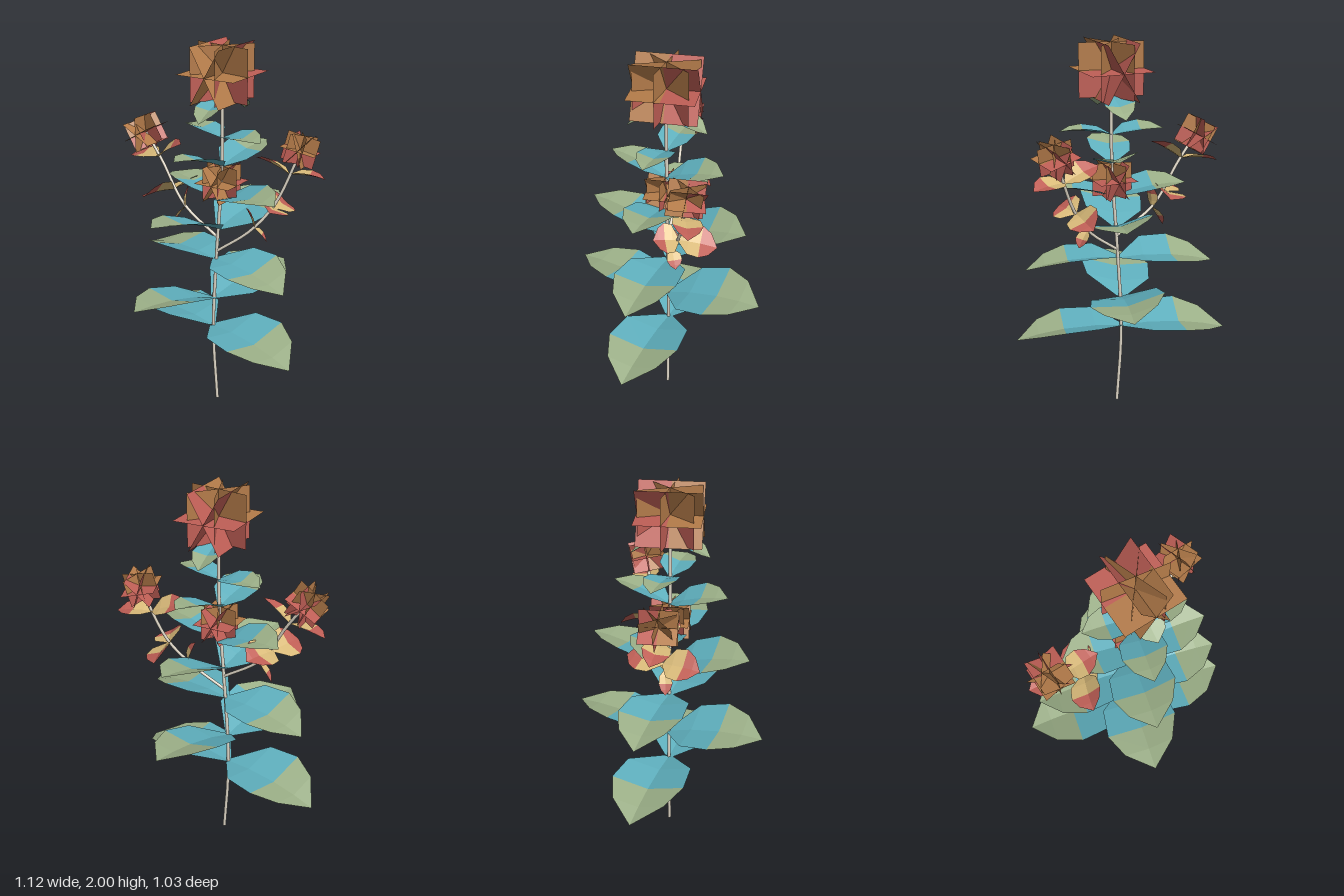
import * as THREE from 'three';
import { mergeGeometries } from 'three/addons/utils/BufferGeometryUtils.js';

const V = (x, y, z) => new THREE.Vector3(x, y, z);
const mat = (color) => new THREE.MeshStandardMaterial({ color, flatShading: true, side: THREE.DoubleSide });
const M = {
  stem: new THREE.MeshStandardMaterial({ color: 0xe0d8c8 }), teal: mat(0x5fb0be), green: mat(0x9cb088),
  orange: mat(0xb57c4a), red: mat(0xc05f56), yellow: mat(0xdabb7a),
};

function add(parent, name, geometry, material) {
  const mesh = new THREE.Mesh(geometry, material);
  mesh.name = name;
  parent.add(mesh);
}

// Folded strip through rows of [edge, midrib, edge]
function strip(rows) {
  const index = [];
  for (let i = 0; i < rows.length - 1; i++) {
    for (let j = 0; j < 2; j++) {
      const a = i * 3 + j, b = a + 3;
      index.push(a, a + 1, b, b, a + 1, b + 1);
    }
  }
  const g = new THREE.BufferGeometry().setFromPoints(rows.flat());
  g.setIndex(index);
  g.computeVertexNormals();
  return g;
}

// Leaf: V-folded along an arched midrib, one edge lifted less, base and tip in two colours
const PROFILE = [[0, 0.12], [0.25, 0.9], [0.55, 1], [0.79, 0.7], [1, 0]];
function leaf(parent, name, base, tip, halfWidth, axis, outerLift, baseMat, tipMat) {
  const dir = tip.clone().sub(base);
  const len = dir.length();
  dir.normalize();
  const side = axis.clone().cross(dir).normalize();
  const up = dir.clone().cross(side);
  const rows = PROFILE.map(([t, w]) => {
    const mid = base.clone().addScaledVector(dir, t * len).addScaledVector(up, 0.2 * len * t * (1 - t));
    const edge = (s, lift) => mid.clone().addScaledVector(side, s * w * halfWidth).addScaledVector(up, lift * w * halfWidth);
    return [edge(1, 0.32), mid, edge(-1, outerLift)];
  });
  const group = new THREE.Group();
  group.name = name;
  add(group, 'leafBase', strip(rows.slice(0, 3)), baseMat);
  add(group, 'leafTip', strip(rows.slice(2)), tipMat);
  parent.add(group);
}

// Flower head: upright cards fanned about y, and cards fanned about z
function flower(parent, name, position, scale, euler) {
  const orange = [], red = [];
  const W = 0.334, H = 0.276;
  for (let i = 0; i < 3; i++) {
    const yaw = -THREE.MathUtils.degToRad(10 + 60 * i);
    const roll = i * Math.PI / 3;
    for (const s of [1, -1]) {
      const list = s > 0 ? orange : red;
      list.push(new THREE.PlaneGeometry(W, H / 2).translate(0, s * H / 4, 0).rotateY(yaw));
      list.push(new THREE.PlaneGeometry(W, W / 2).rotateX(-Math.PI / 2).translate(0, 0, s * W / 4).rotateZ(roll));
    }
  }
  const group = new THREE.Group();
  group.name = name;
  add(group, 'petalsOrange', mergeGeometries(orange), M.orange);
  add(group, 'petalsRed', mergeGeometries(red), M.red);
  group.position.copy(position);
  group.scale.setScalar(scale);
  group.rotation.copy(euler);
  parent.add(group);
}

function stalk(parent, name, points, radius) {
  const curve = new THREE.CatmullRomCurve3(points);
  add(parent, name, new THREE.TubeGeometry(curve, 14, radius, 14, false), M.stem);
}

export function createModel() {
  const root = new THREE.Group();
  root.name = 'floweringPlant';

  // Main stem and two branches
  stalk(root, 'mainStem', [V(0.033, 0, 0), V(0.006, 0.42, 0), V(0.028, 0.9, 0), V(0.058, 1.35, 0), V(0.06, 1.8, 0)], 0.009);
  stalk(root, 'rightBranch', [V(0.033, 0.975, 0), V(-0.18, 1.12, 0), V(-0.32, 1.34, 0), V(-0.42, 1.48, 0)], 0.008);
  stalk(root, 'leftBranch', [V(0.033, 0.9, 0), V(0.2, 1.03, -0.05), V(0.31, 1.18, -0.11), V(0.42, 1.47, -0.17)], 0.008);

  // Opposite leaf pairs: [stem x, y, reach, rise, half width, heading in degrees, outer edge lift]
  const levels = [
    [0.003, 0.45, 0.575, -0.05, 0.203, 14, 0.17],
    [0.008, 0.62, 0.535, 0.08, 0.193, 106, 0.02],
    [0.015, 0.85, 0.505, -0.045, 0.178, 14, 0.14],
    [0.037, 1.025, 0.445, 0.115, 0.167, 106, 0.02],
    [0.053, 1.195, 0.385, 0.06, 0.14, 14, 0.14],
    [0.058, 1.375, 0.315, 0.085, 0.115, 106, 0.1],
    [0.059, 1.525, 0.27, 0.025, 0.09, 14, 0.17],
    [0.06, 1.73, 0.205, -0.09, 0.08, 92, 0.17],
  ];
  for (const [x, y, reach, rise, hw, heading, lift] of levels) {
    const a = THREE.MathUtils.degToRad(heading);
    for (const s of [1, -1]) {
      const tip = V(x + s * reach * Math.cos(a), y + rise, s * reach * Math.sin(a));
      leaf(root, 'stemLeaf', V(x, y, 0), tip, hw, V(0, 1, 0), lift, M.teal, M.green);
    }
  }

  // Small leaf pairs on the branches: node, two tips, half width, leaf facing
  const pairs = [
    [V(-0.34, 1.36, 0), V(-0.175, 1.46, 0.03), V(-0.54, 1.335, -0.03), 0.07, V(-0.5, 0.84, 0.2)],
    [V(-0.25, 1.19, 0), V(-0.31, 1.19, 0.19), V(-0.19, 1.2, -0.19), 0.09, V(-0.5, 0.84, 0)],
    [V(-0.17, 1.11, 0), V(-0.24, 1.0, 0.01), V(-0.15, 1.24, -0.01), 0.035, V(-0.5, 0.84, 0.2)],
    [V(0.37, 1.345, -0.15), V(0.185, 1.41, -0.13), V(0.55, 1.335, -0.2), 0.075, V(0.45, 0.82, -0.35)],
    [V(0.3, 1.165, -0.11), V(0.28, 1.13, -0.3), V(0.35, 1.18, 0.01), 0.085, V(0.45, 0.82, -0.35)],
    [V(0.22, 1.05, -0.06), V(0.28, 0.97, -0.09), V(0.18, 1.16, -0.04), 0.04, V(0.45, 0.82, -0.35)],
  ];
  for (const [node, tipA, tipB, hw, axis] of pairs) {
    for (const tip of [tipA, tipB]) leaf(root, 'branchLeaf', node, tip, hw, axis, 0.17, M.yellow, M.red);
  }

  // Flower heads
  flower(root, 'topFlower', V(0.059, 1.858, 0), 1, new THREE.Euler());
  flower(root, 'middleFlower', V(0.057, 1.29, 0), 0.62, new THREE.Euler());
  flower(root, 'rightFlower', V(-0.425, 1.483, 0), 0.56, new THREE.Euler(0, 0, 0.54));
  flower(root, 'leftFlower', V(0.42, 1.48, -0.165), 0.54, new THREE.Euler(-0.15, 0.27, -0.23, 'YXZ'));

  return root;
}
